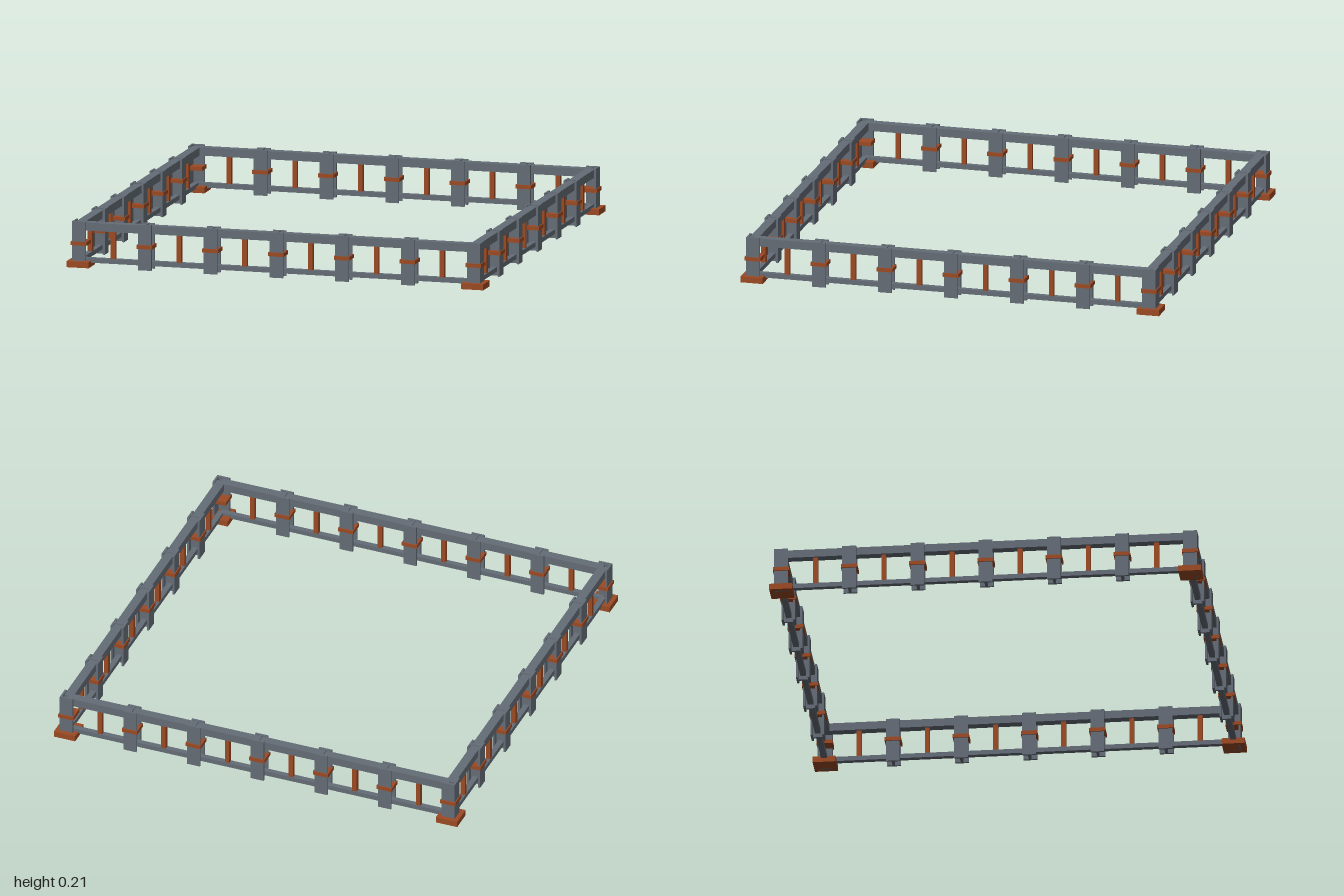
import * as THREE from 'three';

const steel = new THREE.MeshStandardMaterial({ color: 0x646c76 });
steel.name = 'steel grey';
const rust = new THREE.MeshStandardMaterial({ color: 0x9c4a24 });
rust.name = 'rust orange';

const HALF = 0.947;          // centre line of each side
const STEP = HALF / 3;       // spacing between posts
const POST_H = 0.213;
const POST_W = 0.064;
const FLANGE = 0.01;

function box(parent, name, material, size, position) {
  const mesh = new THREE.Mesh(new THREE.BoxGeometry(...size), material);
  mesh.name = name;
  mesh.position.set(...position);
  parent.add(mesh);
  return mesh;
}

function collar(parent) {
  box(parent, 'collar', rust, [0.075, 0.018, 0.075], [0, 0.11, 0]);
}

// H-section post: two flanges facing out and in, joined by a web
function makePost(x) {
  const post = new THREE.Group();
  post.name = 'post';
  const off = (POST_W - FLANGE) / 2;
  for (const s of [-1, 1]) {
    box(post, 'postFlange', steel, [POST_W, POST_H, FLANGE], [0, POST_H / 2, s * off]);
  }
  box(post, 'postWeb', steel, [0.012, POST_H, POST_W - 2 * FLANGE], [0, POST_H / 2, 0]);
  collar(post);
  post.position.x = x;
  return post;
}

// Angle-section corner post on a square foot; outer faces look to +x and +z
function makeCorner() {
  const corner = new THREE.Group();
  corner.name = 'cornerPost';
  const off = (POST_W - FLANGE) / 2;
  box(corner, 'cornerFlangeFront', steel, [POST_W, POST_H, FLANGE], [0, POST_H / 2, off]);
  box(corner, 'cornerFlangeSide', steel, [FLANGE, POST_H, POST_W - FLANGE], [off, POST_H / 2, -FLANGE / 2]);
  box(corner, 'footPlate', rust, [0.106, 0.028, 0.106], [0, 0.014, 0]);
  collar(corner);
  corner.position.set(HALF, 0, HALF);
  return corner;
}

// One side of the square, running along x
function makeSide() {
  const side = new THREE.Group();
  side.name = 'railingSide';
  box(side, 'topRail', steel, [2 * HALF, 0.038, 0.043], [0, 0.189, 0]);
  box(side, 'bottomRail', steel, [2 * HALF, 0.022, 0.026], [0, 0.03, 0]);
  for (let i = -2; i <= 2; i++) side.add(makePost(i * STEP));
  for (let i = -2.5; i <= 2.5; i++) {
    box(side, 'baluster', rust, [0.022, 0.13, 0.022], [i * STEP, 0.105, 0]);
  }
  side.position.z = HALF;
  return side;
}

export function createModel() {
  const model = new THREE.Group();
  model.name = 'squareRailing';
  // Four identical quarters around the vertical axis
  for (let q = 0; q < 4; q++) {
    const quarter = new THREE.Group();
    quarter.name = 'quarter';
    quarter.add(makeSide(), makeCorner());
    quarter.rotation.y = q * Math.PI / 2;
    model.add(quarter);
  }
  return model;
}
